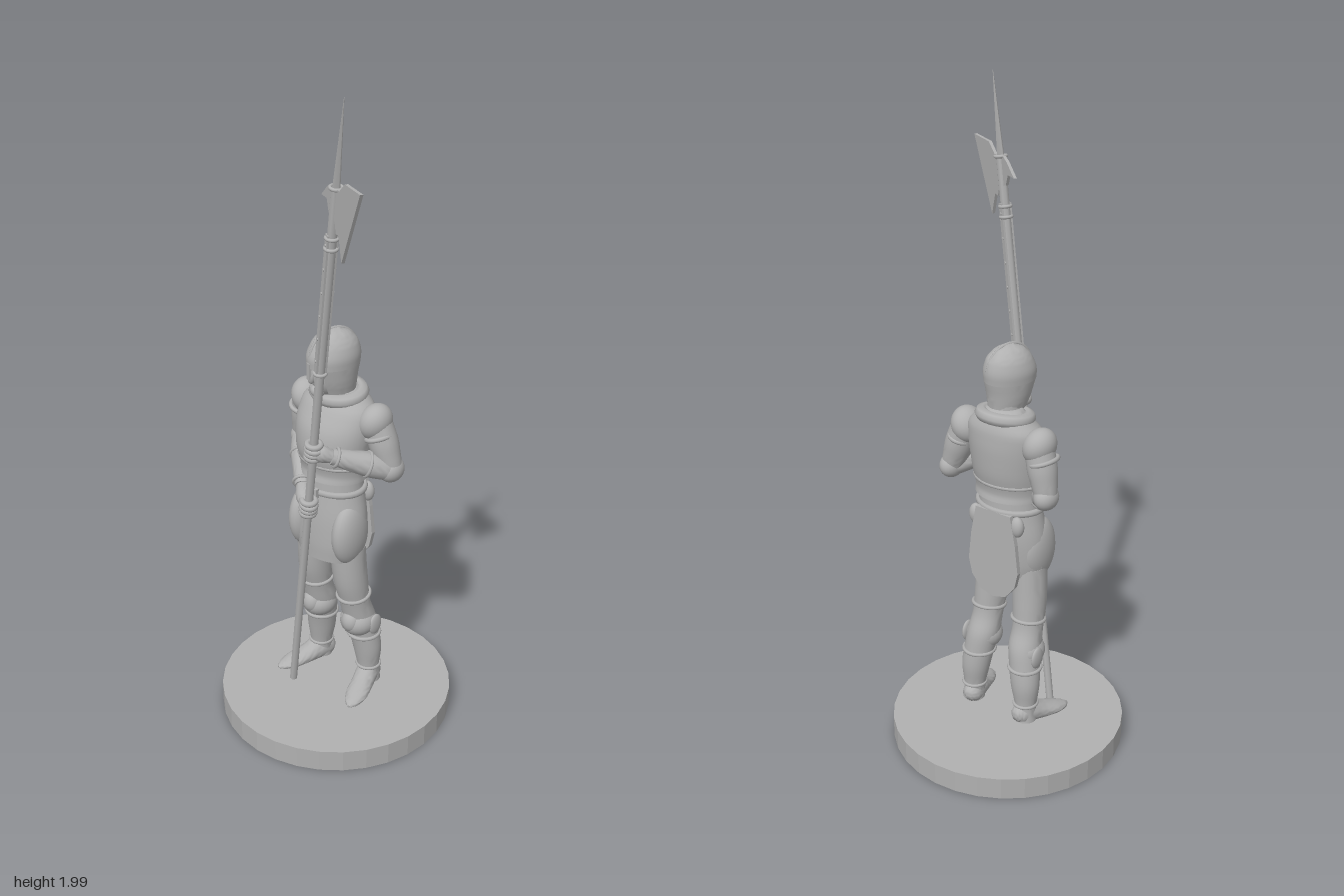
import * as THREE from 'three';
import { toCreasedNormals } from 'three/addons/utils/BufferGeometryUtils.js';

const V = (x, y, z) => new THREE.Vector3(x, y, z);
const stone = new THREE.MeshStandardMaterial({ color: 0xb0b0b0, side: THREE.DoubleSide });
stone.name = 'stone grey';

function add(parent, name, geometry, pos = [0, 0, 0], scale = [1, 1, 1], rot = [0, 0, 0]) {
  const m = new THREE.Mesh(geometry, stone);
  m.name = name;
  m.position.set(...pos);
  m.scale.set(...scale);
  m.rotation.set(...rot);
  parent.add(m);
  return m;
}

// Smooth skin over rings [x, y, z, radiusU, radiusV].
// Without ref the rings lie flat and rise in y; with ref they stand across the path, U along ref.
function loft(rings, { ref = null, start = 0, arc = Math.PI * 2, n = 24, steps = 4 } = {}) {
  const path = new THREE.CatmullRomCurve3(rings.map(r => V(r[0], r[1], r[2])));
  const size = new THREE.CatmullRomCurve3(rings.map(r => V(r[3], r[4], 0)), false, 'catmullrom', 0.4);
  const closed = arc > 6.28, cols = closed ? n : n + 1, rows = (rings.length - 1) * steps;
  const pos = [], idx = [];
  for (let j = 0; j <= rows; j++) {
    const t = j / rows, c = path.getPoint(t), s = size.getPoint(t);
    const T = ref ? path.getTangent(t) : V(0, 1, 0);
    const U = (ref ? ref.clone() : V(1, 0, 0)).addScaledVector(T, -(ref ? ref.dot(T) : 0)).normalize();
    const W = U.clone().cross(T);
    for (let i = 0; i < cols; i++) {
      const a = start + arc * i / n;
      const p = c.clone().addScaledVector(U, Math.cos(a) * Math.max(s.x, 0.001))
        .addScaledVector(W, Math.sin(a) * Math.max(s.y, 0.001));
      pos.push(p.x, p.y, p.z);
    }
  }
  for (let j = 0; j < rows; j++) for (let i = 0; i < n; i++) {
    const a = j * cols + i, b = j * cols + (i + 1) % cols;
    idx.push(a, a + cols, b, b, a + cols, b + cols);
  }
  // End caps
  if (closed) for (const [j, end] of [[0, rings[0]], [rows, rings[rings.length - 1]]]) {
    const c = pos.length / 3;
    pos.push(end[0], end[1], end[2]);
    for (let i = 0; i < n; i++) {
      const a = j * cols + i, b = j * cols + (i + 1) % cols;
      j ? idx.push(c, b, a) : idx.push(c, a, b);
    }
  }
  const g = new THREE.BufferGeometry();
  g.setAttribute('position', new THREE.Float32BufferAttribute(pos, 3));
  g.setIndex(idx);
  g.computeVertexNormals();
  return toCreasedNormals(g, 0.9);
}

const ball = () => new THREE.SphereGeometry(1, 24, 16);
const ring = (r, t) => new THREE.TorusGeometry(r, t, 8, 28).rotateX(Math.PI / 2);

function plate(points, depth) {
  const shape = new THREE.Shape(points.map(p => new THREE.Vector2(...p)));
  return new THREE.ExtrudeGeometry(shape, { depth, bevelEnabled: false }).translate(0, 0, -depth / 2);
}

function makeBody() {
  const g = new THREE.Group();
  g.name = 'body';
  // Breastplate with a flared lower edge
  add(g, 'breastplate', loft([
    [-0.01, 0.825, 0, 0.088, 0.108], [-0.01, 0.85, 0, 0.084, 0.108], [-0.01, 0.91, 0, 0.097, 0.118],
    [-0.003, 0.98, 0, 0.096, 0.125], [0.012, 1.04, 0, 0.08, 0.12], [0.02, 1.075, 0, 0.062, 0.085],
    [0.015, 1.1, 0, 0.045, 0.05]], { n: 36 }));
  add(g, 'backPlateRim', ring(1, 0.05), [-0.01, 0.875, 0], [0.088, 0.12, 0.11]);
  add(g, 'collar', ring(0.06, 0.02), [0.012, 1.075, 0], [1, 1, 1.15], [0, 0, 0.12]);
  add(g, 'neck', new THREE.CylinderGeometry(0.042, 0.05, 0.1, 20), [0.0, 1.11, 0.005]);
  add(g, 'waist', loft([[-0.012, 0.76, 0, 0.078, 0.1], [-0.012, 0.84, 0, 0.075, 0.095]]));
  add(g, 'belt', ring(1, 0.08), [-0.014, 0.79, 0], [0.081, 0.13, 0.104]);
  add(g, 'beltBuckle', new THREE.BoxGeometry(0.012, 0.03, 0.04), [-0.103, 0.79, 0]);
  // Skirt and hanging back panel
  add(g, 'skirt', loft([
    [-0.025, 0.565, 0, 0.075, 0.108], [-0.022, 0.62, 0, 0.08, 0.12], [-0.017, 0.7, 0, 0.082, 0.117],
    [-0.013, 0.79, 0, 0.076, 0.1]], { n: 36 }));
  const back = plate([[-0.062, 0.79], [0.062, 0.79], [0.08, 0.7], [0.09, 0.61], [0.078, 0.56],
    [0.045, 0.52], [0, 0.508], [-0.045, 0.52], [-0.078, 0.56], [-0.09, 0.61], [-0.08, 0.7]], 0.014);
  add(g, 'backPanel', back, [0.066, 0, 0], [1, 1, 1], [0, Math.PI / 2, 0]);
  for (const s of [1, -1]) {
    // Side tassets and belt pouches
    add(g, 'tasset', ball(), [-0.035, 0.655, s * 0.085], [0.068, 0.1, 0.04]);
    add(g, 'pouch', ball(), [0.055, 0.755, s * 0.075], [0.018, 0.032, 0.022]);
    add(g, 'pauldron', ball(), [0.022, 1.015, s * 0.128], [0.054, 0.056, 0.046], [s * 0.4, 0, 0]);
    add(g, 'pauldronRim', ring(0.045, 0.007), [0.024, 0.975, s * 0.145], [1, 1, 0.85], [s * -0.3, 0, 0]);
  }
  return g;
}

function makeLeg(s) {
  const g = new THREE.Group();
  g.name = s > 0 ? 'leftLeg' : 'rightLeg';
  add(g, 'leg', loft([
    [0.043, 0.1, 0.1, 0.034, 0.034], [0.04, 0.15, 0.098, 0.033, 0.034], [0.038, 0.22, 0.094, 0.042, 0.045],
    [0.03, 0.28, 0.086, 0.046, 0.048], [0.018, 0.34, 0.078, 0.05, 0.05], [0, 0.4, 0.075, 0.046, 0.047],
    [-0.014, 0.48, 0.071, 0.053, 0.051], [-0.022, 0.6, 0.064, 0.055, 0.053]]));
  // Knee armour with wing and straps
  add(g, 'kneeCop', ball(), [0.012, 0.325, 0.08], [0.056, 0.05, 0.056]);
  add(g, 'kneePoint', ball(), [-0.022, 0.335, 0.08], [0.028, 0.036, 0.03]);
  add(g, 'kneeWing', ball(), [0.03, 0.32, 0.132], [0.026, 0.034, 0.01]);
  add(g, 'kneeStrap', ring(0.048, 0.006), [0.03, 0.275, 0.087]);
  add(g, 'cuisseRim', ring(0.049, 0.006), [-0.004, 0.425, 0.074], [1, 1, 1], [0, 0, 0.15]);
  add(g, 'bootCuff', ring(0.035, 0.005), [0.041, 0.155, 0.098]);
  add(g, 'boot', loft([
    [0.08, 0.108, 0.09, 0.012, 0.012], [0.068, 0.115, 0.092, 0.03, 0.028], [0.035, 0.123, 0.1, 0.038, 0.034],
    [-0.01, 0.111, 0.116, 0.027, 0.034], [-0.055, 0.102, 0.132, 0.018, 0.034],
    [-0.09, 0.096, 0.143, 0.011, 0.022], [-0.107, 0.094, 0.148, 0.004, 0.006]], { ref: V(0, 1, 0) }));
  g.scale.z = s;
  return g;
}

// Arm from shoulder to elbow, then forearm to the wrist and a fist
function makeArm(name, shoulder, elbow, wrist, hand) {
  const g = new THREE.Group();
  g.name = name;
  const mix = (a, b, t, r) => [0, 1, 2].map(i => a[i] + (b[i] - a[i]) * t).concat(r, r);
  add(g, 'upperArm', loft([mix(shoulder, elbow, 0, 0.042), mix(shoulder, elbow, 0.45, 0.044),
    mix(shoulder, elbow, 0.8, 0.037), mix(shoulder, elbow, 1, 0.032)], { ref: V(1, 0, 0) }));
  add(g, 'elbowCop', ball(), elbow, [0.042, 0.038, 0.034]);
  add(g, 'forearm', loft([mix(elbow, wrist, 0, 0.034), mix(elbow, wrist, 0.35, 0.037),
    mix(elbow, wrist, 0.75, 0.029), mix(elbow, wrist, 1, 0.023)], { ref: V(0, 1, 0) }));
  const along = V(...wrist).sub(V(...elbow)).normalize();
  for (const [t, r] of [[0.4, 0.036], [0.92, 0.027]]) {
    const cuff = add(g, 'bracerRim', ring(r, 0.005), mix(elbow, wrist, t, 0).slice(0, 3));
    cuff.quaternion.setFromUnitVectors(V(0, 1, 0), along);
  }
  add(g, 'palm', loft([mix(wrist, hand, 0, 0.02), mix(wrist, hand, 0.5, 0.025), mix(wrist, hand, 0.85, 0.018),
    mix(wrist, hand, 1, 0.008)], { ref: V(0, 1, 0) }));
  return g;
}

// Head faces -x and turns a little towards the right shoulder
function makeHead() {
  const g = new THREE.Group();
  g.name = 'head';
  g.position.set(-0.014, 0, 0.007);
  g.rotation.y = -0.3;
  add(g, 'face', ball(), [-0.018, 1.15, 0], [0.056, 0.07, 0.047]);
  add(g, 'nose', ball(), [-0.075, 1.145, 0], [0.012, 0.02, 0.009]);
  add(g, 'chin', ball(), [-0.055, 1.1, 0], [0.022, 0.02, 0.022]);
  add(g, 'helmetBowl', loft([
    [-0.004, 1.175, 0, 0.08, 0.064], [-0.003, 1.205, 0, 0.081, 0.065], [0, 1.24, 0, 0.069, 0.055],
    [0, 1.265, 0, 0.046, 0.035], [0, 1.28, 0, 0.012, 0.007]], { n: 32 }));
  add(g, 'cheekGuards', loft([
    [0.006, 1.095, 0, 0.058, 0.05], [0, 1.13, 0, 0.067, 0.058], [-0.004, 1.18, 0, 0.08, 0.064]],
    { start: -2.45, arc: 4.9, n: 28 }));
  add(g, 'helmetRidge', new THREE.TorusGeometry(0.077, 0.005, 6, 28, Math.PI), [-0.002, 1.2, 0], [1, 1.03, 1]);
  add(g, 'noseGuard', new THREE.BoxGeometry(0.008, 0.05, 0.014), [-0.083, 1.165, 0]);
  return g;
}

function makeHalberd() {
  const g = new THREE.Group();
  g.name = 'halberd';
  const axis = V(-0.049, 0.9875, 0.15).normalize();
  const edge = V(-0.446, -0.156, 0.881).addScaledVector(axis, 0).normalize();
  const side = edge.clone().cross(axis).normalize();
  g.quaternion.setFromRotationMatrix(new THREE.Matrix4().makeBasis(side.clone().cross(axis).negate(), axis, side));
  g.position.set(-0.095, 0.075, -0.095);
  add(g, 'shaft', new THREE.CylinderGeometry(0.014, 0.012, 1.7, 8), [0, 0.85, 0]);
  add(g, 'langet', new THREE.BoxGeometry(0.018, 0.42, 0.031), [0, 1.36, 0]);
  for (let i = 0; i < 6; i++)
    add(g, 'rivet', new THREE.CylinderGeometry(0.004, 0.004, 0.037, 8), [0, 1.19 + i * 0.07, 0], [1, 1, 1], [Math.PI / 2, 0, 0]);
  for (const y of [1.15, 1.53, 1.56, 1.7]) add(g, 'socketRing', ring(0.016, 0.005), [0, y, 0]);
  // Blade and rear spike in one outline
  add(g, 'axeBlade', plate([[0.083, 1.532], [0.155, 1.756], [0.06, 1.738], [0.03, 1.705], [-0.025, 1.7],
    [-0.045, 1.685], [-0.082, 1.643], [-0.045, 1.65], [-0.025, 1.62], [0.018, 1.615], [0.032, 1.588], [0.05, 1.592]], 0.009));
  add(g, 'spearPoint', new THREE.CylinderGeometry(0.001, 0.017, 0.25, 4), [0, 1.81, 0], [1, 1, 0.7]);
  // Fingers wrapped round the shaft
  for (const y of [0.69, 0.89]) for (let i = 0; i < 4; i++)
    add(g, 'finger', ring(0.018, 0.0085), [0, y + (i - 1.5) * 0.014, 0], [1.05 + 0.08 * (i % 3), 1, 1.05]);
  return g;
}

export function createModel() {
  const model = new THREE.Group();
  model.name = 'guardFigure';
  add(model, 'base', toCreasedNormals(new THREE.CylinderGeometry(0.357, 0.357, 0.068, 32), 0.1), [0, 0.034, 0]);
  model.add(makeBody(), makeLeg(1), makeLeg(-1), makeHead(), makeHalberd());
  model.add(makeArm('leftArm', [0.025, 1.02, 0.13], [0.035, 0.875, 0.18], [-0.105, 0.935, 0.075], [-0.15, 0.957, 0.035]));
  model.add(makeArm('rightArm', [0.025, 1.02, -0.128], [0.035, 0.87, -0.162], [-0.095, 0.79, -0.045], [-0.14, 0.762, 0.01]));
  return model;
}
